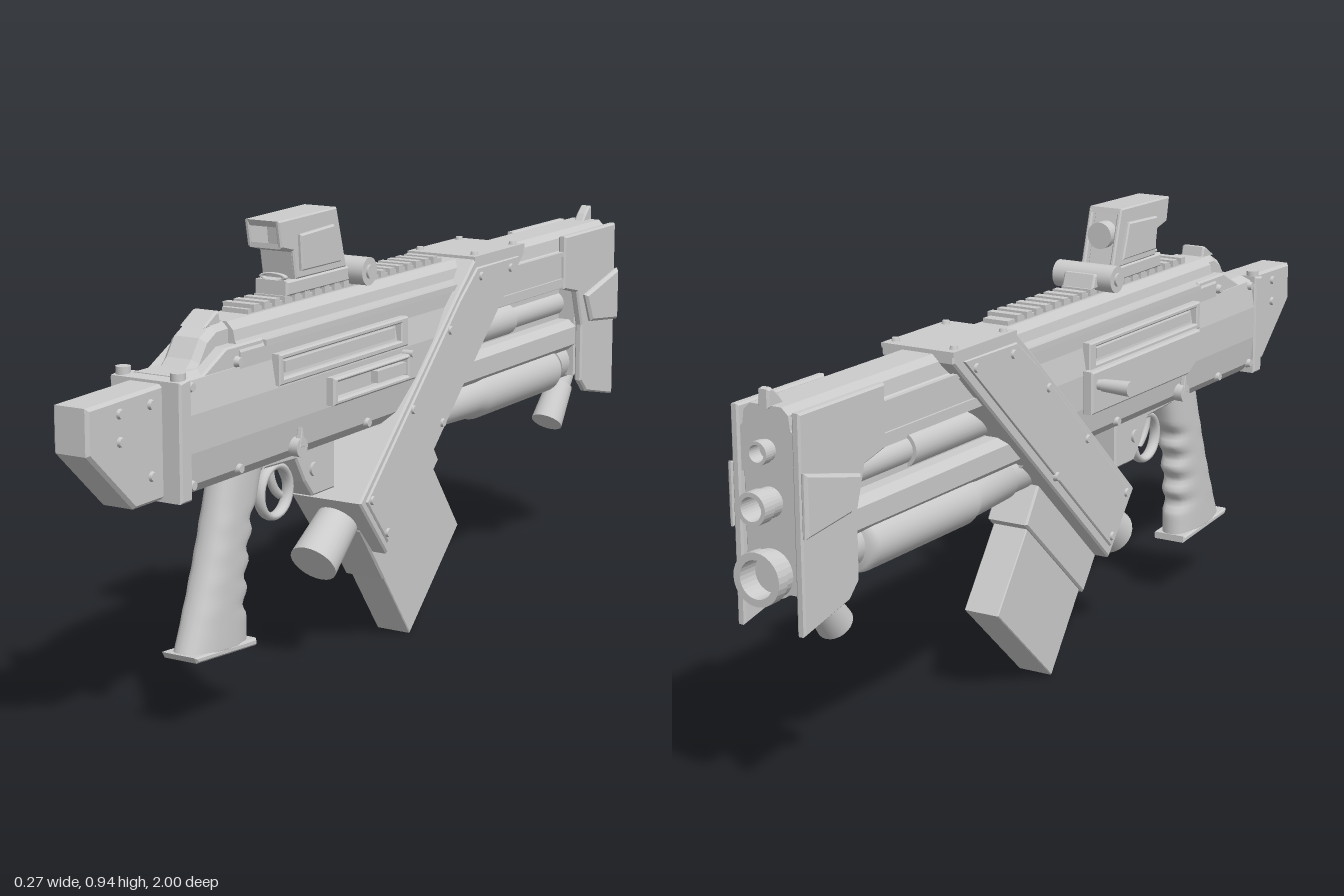
import * as THREE from 'three';

const C = 0.037; // centre plane of the body
const V = (x, y, z) => new THREE.Vector3(x, y, z);

export function createModel() {
  const model = new THREE.Group();
  const mat = new THREE.MeshStandardMaterial({ color: 0xcccccc, side: THREE.DoubleSide });
  const add = (name, geo) => {
    const m = new THREE.Mesh(geo, mat);
    m.name = name;
    model.add(m);
    return m;
  };
  // Side outline given as [z, y], extruded across x
  const side = (name, pts, width, x = C, bevel = 0.004, holes = []) => {
    const s = new THREE.Shape(pts.map(p => new THREE.Vector2(...p)));
    holes.forEach(h => s.holes.push(new THREE.Path(h.map(p => new THREE.Vector2(...p)))));
    const g = new THREE.ExtrudeGeometry(s, { depth: width - 2 * bevel, bevelEnabled: bevel > 0,
      bevelSize: bevel, bevelThickness: bevel, bevelOffset: -bevel, bevelSegments: 1 });
    g.translate(0, 0, -(width - 2 * bevel) / 2).rotateY(-Math.PI / 2).translate(x, 0, 0);
    return add(name, g);
  };
  // Mirrored section given as [half width, y], extruded from z0 to z1
  const section = (name, half, z0, z1) => {
    const pts = [...half.map(([x, y]) => [C + x, y]), ...half.slice().reverse().map(([x, y]) => [C - x, y])];
    const s = new THREE.Shape(pts.map(p => new THREE.Vector2(...p)));
    return add(name, new THREE.ExtrudeGeometry(s, { depth: z1 - z0, bevelEnabled: false }).translate(0, 0, z0));
  };
  const box = (name, x, y, z, w, h, d) => add(name, new THREE.BoxGeometry(w, h, d).translate(x, y, z));
  const rod = (name, a, b, r0, r1 = r0, n = 24) => {
    const d = b.clone().sub(a);
    const m = add(name, new THREE.CylinderGeometry(r1, r0, d.length(), n));
    m.position.copy(a).addScaledVector(d, 0.5);
    m.quaternion.setFromUnitVectors(V(0, 1, 0), d.normalize());
    return m;
  };
  // Open muzzle tube along z, with a rolled-in bore
  const muzzle = (name, y, z0, z1, r) => {
    const p = [[r * 0.9, 0], [r * 0.9, 0.6], [r, 0.6], [r, 1], [r * 0.72, 1], [r * 0.72, 0.3], [0, 0.3]]
      .map(([a, t]) => new THREE.Vector2(a, t * (z0 - z1)));
    const g = new THREE.LatheGeometry(p, 28).toNonIndexed();
    g.computeVertexNormals();
    add(name, g.rotateX(-Math.PI / 2).translate(C, y, z0));
  };
  const rivets = (list, half) => list.forEach(([z, y]) => [-1, 1].forEach(s =>
    rod('rivet', V(C + s * (half - 0.004), y, z), V(C + s * (half + 0.006), y, z), 0.011, 0.008, 10)));

  // Stock
  side('buttStock', [[1, 0.685], [0.78, 0.69], [0.78, 0.48], [0.87, 0.48], [1, 0.6]], 0.076, C, 0.006);
  side('stockCollar', [[0.785, 0.695], [0.75, 0.7], [0.75, 0.475], [0.785, 0.475]], 0.155);
  [-1, 1].forEach(s => rod('collarPin', V(C + s * 0.06, 0.68, 0.767), V(C + s * 0.06, 0.71, 0.767), 0.014));
  rivets([[0.91, 0.66], [0.91, 0.61], [0.82, 0.66], [0.82, 0.53]], 0.038);

  // Receiver
  section('lowerReceiver', [[0.045, 0.478], [0.066, 0.5], [0.074, 0.56], [0.074, 0.63], [0.064, 0.69], [0.04, 0.7]], -0.2, 0.76);
  side('rearHump', [[0.76, 0.68], [0.71, 0.69], [0.68, 0.715], [0.655, 0.75], [0.62, 0.768], [0.56, 0.77], [0.45, 0.77], [0.45, 0.68]], 0.078, C, 0.012);
  section('upperReceiver', [[0.064, 0.66], [0.066, 0.715], [0.054, 0.735], [0.05, 0.755], [0.036, 0.77]], -0.3, 0.58);
  side('receiverCheek', [[0.7, 0.69], [0.62, 0.73], [0.5, 0.73], [0.5, 0.66], [0.7, 0.66]], 0.126);
  rivets([[0.74, 0.68], [0.74, 0.5], [0.59, 0.7], [0.14, 0.5], [0.59, 0.5]], 0.068);

  // Side windows and charging handle
  [-1, 1].forEach(s => {
    side('sideWindowFrame', [[0.475, 0.695], [0.005, 0.695], [0.005, 0.635], [0.475, 0.635]], 0.022, C + s * 0.072, 0.003,
      [[[0.46, 0.684], [0.46, 0.648], [0.03, 0.648], [0.03, 0.684]]]);
    box('windowCover', C + s * 0.068, 0.666, 0.245, 0.014, 0.022, 0.4);
    box('sideStrip', C + s * 0.064, 0.72, 0.12, 0.012, 0.012, 0.76);
  });
  side('ejectionPort', [[0.3, 0.62], [-0.01, 0.62], [-0.01, 0.565], [0.3, 0.565]], 0.024, 0.118, 0.004,
    [[[0.285, 0.61], [0.285, 0.577], [0.02, 0.577], [0.02, 0.61]]]);
  box('ejectionCover', 0.116, 0.593, 0.08, 0.022, 0.024, 0.11);
  rod('portPin', V(0.11, 0.62, 0.01), V(0.135, 0.62, 0.01), 0.007);
  side('handlePlate', [[0.45, 0.64], [-0.01, 0.64], [-0.01, 0.55], [0.4, 0.55], [0.45, 0.58]], 0.025, -0.048);
  rod('handleStem', V(-0.05, 0.61, 0.015), V(-0.11, 0.61, 0.015), 0.011);
  rod('handleKnob', V(-0.07, 0.61, 0.015), V(-0.135, 0.61, 0.015), 0.013, 0.016);
  [-1, 1].forEach(s => {
    rod('selectorBase', V(C + s * 0.066, 0.505, 0.405), V(C + s * 0.086, 0.505, 0.405), 0.019);
    side('selectorLever', [[0.415, 0.505], [0.405, 0.545], [0.395, 0.505]], 0.012, C + s * 0.081, 0.002);
  });

  // Top rail and sights
  box('topRail', C, 0.772, 0.14, 0.058, 0.014, 0.72);
  for (let z = 0.48; z > -0.22; z -= 0.035) box('railTooth', C, 0.78, z, 0.07, 0.014, 0.018);
  side('rearSight', [[0.64, 0.765], [0.6, 0.79], [0.59, 0.79], [0.585, 0.765]], 0.055);
  side('frontSight', [[-0.91, 0.765], [-0.925, 0.785], [-0.945, 0.802], [-0.957, 0.8], [-0.957, 0.765]], 0.024);

  // Optic
  side('opticBase', [[0.38, 0.815], [0.1, 0.815], [0.09, 0.785], [0.38, 0.785]], 0.075);
  const hood = [[0.41, 0.932], [0.205, 0.936], [0.17, 0.815], [0.35, 0.815], [0.36, 0.87], [0.4, 0.88]];
  [-1, 1].forEach(s => {
    side('opticSide', hood, 0.01, C + s * 0.034, 0.003);
    side('opticSidePanel', [[0.345, 0.9], [0.225, 0.905], [0.2, 0.83], [0.34, 0.83]], 0.012, C + s * 0.041, 0.003);
  });
  side('opticTop', [[0.41, 0.932], [0.205, 0.936], [0.202, 0.924], [0.405, 0.92]], 0.076, C, 0.002);
  side('opticBody', [[0.35, 0.922], [0.215, 0.926], [0.185, 0.815], [0.335, 0.815]], 0.064);
  side('opticSill', [[0.4, 0.888], [0.34, 0.875], [0.335, 0.815], [0.35, 0.815], [0.36, 0.868], [0.4, 0.878]], 0.07, C, 0.002);
  rod('opticLens', V(C, 0.88, 0.23), V(C, 0.88, 0.18), 0.028);
  rod('opticDial', V(-0.033, 0.803, 0.135), V(0.107, 0.803, 0.135), 0.028);
  rod('opticDialHub', V(-0.038, 0.803, 0.135), V(0.112, 0.803, 0.135), 0.014);
  add('adjusterLoop', new THREE.TorusGeometry(0.026, 0.006, 8, 24).scale(1, 0.25, 1).translate(C, 0.82, 0.37));

  // Barrel shroud, barrels and fore grip
  section('barrelShroud', [[0.06, 0.645], [0.066, 0.66], [0.066, 0.72], [0.052, 0.73], [0.048, 0.757], [0.034, 0.77]], -0.95, -0.28);
  [-1, 1].forEach(s => {
    box('shroudRib', C + s * 0.066, 0.725, -0.66, 0.01, 0.01, 0.56);
    box('shroudLowerRib', C + s * 0.064, 0.66, -0.6, 0.014, 0.02, 0.5);
  });
  rod('mainBarrel', V(C, 0.595, -0.15), V(C, 0.595, -0.95), 0.028);
  rod('barrelSleeve', V(C, 0.595, -0.18), V(C, 0.595, -0.55), 0.036);
  side('barrelCore', [[-0.15, 0.65], [-0.9, 0.65], [-0.9, 0.5], [-0.15, 0.5]], 0.03);
  section('lowerGuard', [[0.04, 0.49], [0.058, 0.505], [0.058, 0.545], [0.042, 0.56]], -0.87, -0.15);
  rod('lowerTube', V(C, 0.46, 0), V(C, 0.46, -0.94), 0.045);
  const gripProfile = [[0, 0], [0.044, 0], [0.05, 0.14], [0.056, 0.16], [0.056, 0.49], [0.05, 0.51], [0, 0.51]];
  add('foreGrip', new THREE.LatheGeometry(gripProfile.map(p => new THREE.Vector2(...p)), 32)
    .rotateX(-Math.PI / 2).scale(1.15, 1, 1).translate(C, 0.455, -0.22));

  // Muzzle housing
  const cheek = [[-0.7, 0.765], [-0.955, 0.765], [-0.955, 0.36], [-0.82, 0.39], [-0.79, 0.42], [-0.79, 0.55], [-0.765, 0.63], [-0.7, 0.645]];
  [-1, 1].forEach(s => {
    side('muzzleCheek', cheek, 0.018, C + s * 0.066, 0.004);
    side('muzzleFlare', [[-0.83, 0.63], [-0.955, 0.66], [-0.955, 0.54], [-0.82, 0.555], [-0.79, 0.62]], 0.016, C + s * 0.079, 0.006);
  });
  side('muzzleBlock', [[-0.79, 0.74], [-0.945, 0.74], [-0.945, 0.43], [-0.79, 0.43]], 0.116);
  muzzle('upperMuzzle', 0.69, -0.93, -0.98, 0.022);
  muzzle('mainMuzzle', 0.595, -0.93, -1, 0.031);
  muzzle('lowerMuzzle', 0.465, -0.93, -0.992, 0.05);
  rod('lampArm', V(C, 0.42, -0.85), V(C, 0.36, -0.81), 0.024);
  rod('lamp', V(C, 0.395, -0.83), V(C, 0.318, -0.768), 0.03, 0.036);

  // Diagonal brace with raised side panels and top plate
  const brace = [[-0.27, 0.772], [-0.49, 0.772], [-0.49, 0.755], [0.085, 0.218], [0.19, 0.345], [-0.2, 0.71]];
  side('diagonalBrace', brace, 0.164);
  side('bracePanel', [[-0.275, 0.755], [-0.46, 0.755], [0.087, 0.243], [0.17, 0.345], [-0.2, 0.695]], 0.172, C, 0.003);
  box('braceTopPlate', C, 0.773, -0.38, 0.164, 0.01, 0.22);
  rivets([[-0.29, 0.735], [-0.42, 0.735], [-0.16, 0.64], [0.15, 0.345], [0.09, 0.265], [-0.01, 0.5], [-0.13, 0.45]], 0.085);
  for (const x of [-1, 1]) for (const z of [-0.295, -0.465])
    rod('topRivet', V(C + x * 0.066, 0.774, z), V(C + x * 0.066, 0.785, z), 0.01, 0.007, 10);

  // Magazine
  side('magazineWell', [[-0.185, 0.355], [0.04, 0.148], [0.13, 0.27], [0.05, 0.48], [-0.13, 0.44]], 0.094);
  side('magazine', [[-0.282, 0.19], [-0.078, 0], [0.06, 0.19], [-0.14, 0.385]], 0.08, C, 0.002);

  // Pistol grip lofted from ellipses, with finger grooves on its far edge
  const rows = 36, cols = 24, pos = [], idx = [];
  for (let i = 0; i <= rows; i++) {
    const t = i / rows, y = 0.5 - 0.35 * t;
    const back = 0.57 + 0.125 * t - 0.012 * Math.sin(t * Math.PI);
    const groove = t > 0.25 && t < 0.85 ? 0.008 * Math.cos((t - 0.25) / 0.15 * Math.PI * 2) - 0.008 : 0;
    const front = 0.43 + 0.066 * t + 0.022 * Math.sin(t * Math.PI) - groove;
    for (let j = 0; j < cols; j++) {
      const a = j / cols * Math.PI * 2, c = Math.cos(a), s = Math.sin(a);
      const w = 0.036 + 0.004 * t, sq = v => Math.sign(v) * Math.abs(v) ** 0.8;
      pos.push(C + w * sq(c), y - 0.015 * t * (1 - sq(s)) / 2, (front + back) / 2 + (back - front) / 2 * sq(s));
      if (i < rows) {
        const p = i * cols + j, q = i * cols + (j + 1) % cols;
        idx.push(p, p + cols, q, q, p + cols, q + cols);
      }
    }
  }
  for (let j = 1; j < cols - 1; j++) idx.push(rows * cols, rows * cols + j + 1, rows * cols + j);
  const grip = new THREE.BufferGeometry();
  grip.setAttribute('position', new THREE.Float32BufferAttribute(pos, 3));
  grip.setIndex(idx);
  grip.computeVertexNormals();
  add('pistolGrip', grip);
  side('gripFoot', [[0.698, 0.16], [0.495, 0.145], [0.495, 0.13], [0.69, 0.147]], 0.08);

  // Trigger group and rear lamp
  add('triggerGuard', new THREE.TorusGeometry(0.05, 0.008, 10, 32).rotateY(Math.PI / 2).scale(1.6, 1, 1).translate(C, 0.402, 0.375));
  const curve = new THREE.QuadraticBezierCurve3(V(C, 0.48, 0.385), V(C, 0.42, 0.4), V(C, 0.39, 0.355));
  add('trigger', new THREE.TubeGeometry(curve, 12, 0.009, 8));
  side('guardBridge', [[0.45, 0.485], [0.2, 0.485], [0.2, 0.375], [0.28, 0.375], [0.31, 0.41], [0.34, 0.46], [0.45, 0.465]], 0.06);
  rod('bridgePin', V(C - 0.036, 0.43, 0.28), V(C + 0.036, 0.43, 0.28), 0.014);
  rod('rearLamp', V(C, 0.315, 0.11), V(C, 0.222, 0.235), 0.042, 0.05);
  return model;
}
